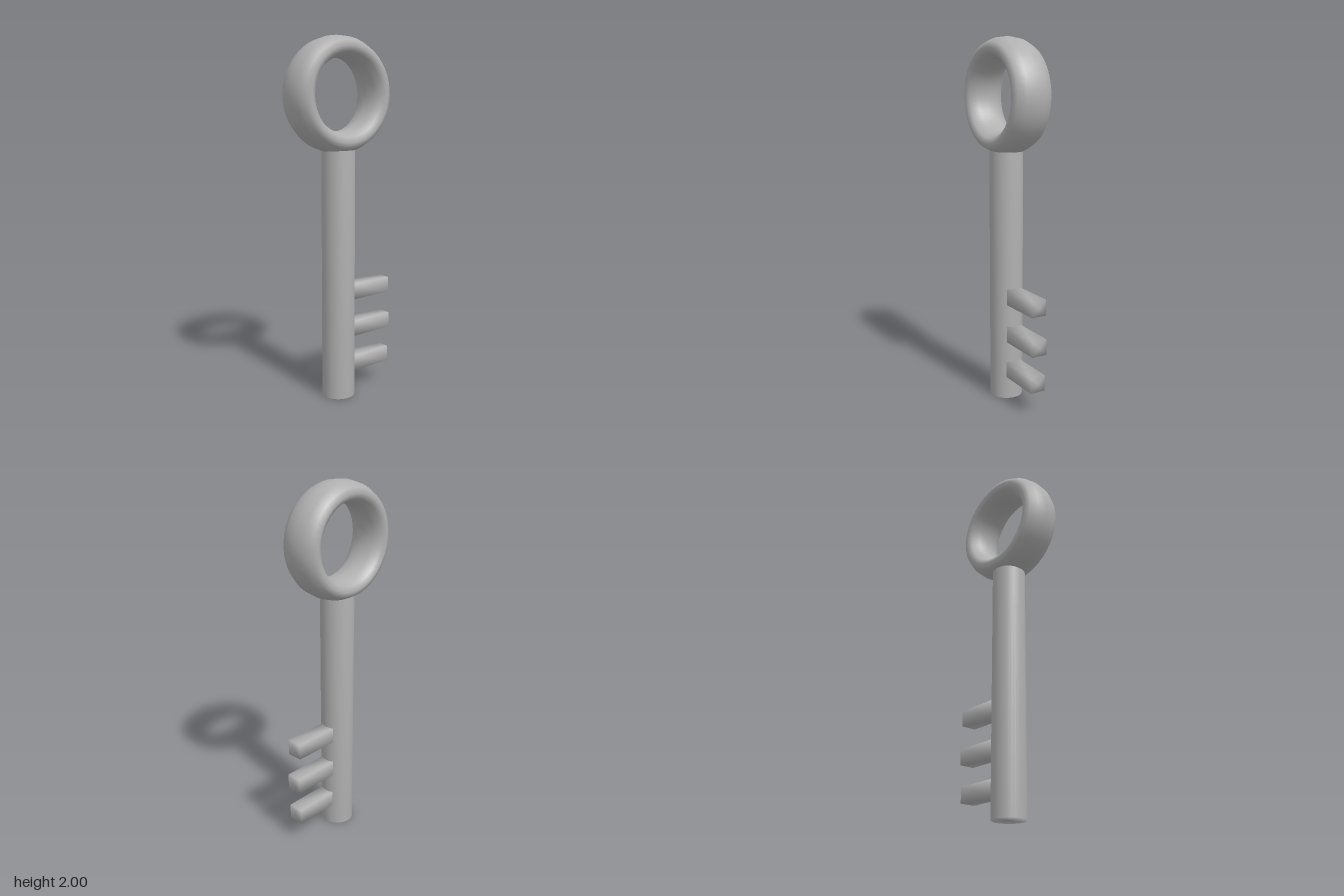
import * as THREE from 'three';
import { mergeVertices } from 'three/addons/utils/BufferGeometryUtils.js';

// Closed cylinder with normals blended across its rims
function softCylinder(radius, length, sides) {
  const g = new THREE.CylinderGeometry(radius, radius, length, sides);
  g.deleteAttribute('normal');
  g.deleteAttribute('uv');
  const merged = mergeVertices(g, 1e-4);
  merged.computeVertexNormals();
  return merged;
}

export function createModel() {
  const key = new THREE.Group();
  key.name = 'key';
  const metal = new THREE.MeshStandardMaterial({ color: 0xb0b0b0 });
  metal.name = 'grey metal';

  const add = (name, geometry, x, y, z) => {
    const mesh = new THREE.Mesh(geometry, metal);
    mesh.name = name;
    mesh.position.set(x, y, z);
    key.add(mesh);
    return mesh;
  };

  // Ring handle: a torus stretched front to back
  const ring = new THREE.TorusGeometry(0.254, 0.06, 12, 48);
  ring.scale(1.012, 0.99, 1.94);
  add('ringHandle', ring, -0.018, 1.689, 0);

  // Round shaft
  add('shaft', softCylinder(0.092, 1.395, 32), -0.013, 0.6975, 0);

  // Three square teeth on the left side: [start x, end x, centre y, centre z]
  const teeth = [
    [0.066, 0.327, 0.596, 0],
    [0.066, 0.335, 0.379, 0],
    [0.064, 0.325, 0.172, 0.002],
  ];
  for (const [x0, x1, y, z] of teeth) {
    const g = softCylinder(0.044 * Math.SQRT2, x1 - x0, 4);
    g.rotateY(Math.PI / 4);
    g.rotateZ(-Math.PI / 2);
    add('tooth', g, (x0 + x1) / 2, y, z);
  }

  return key;
}
